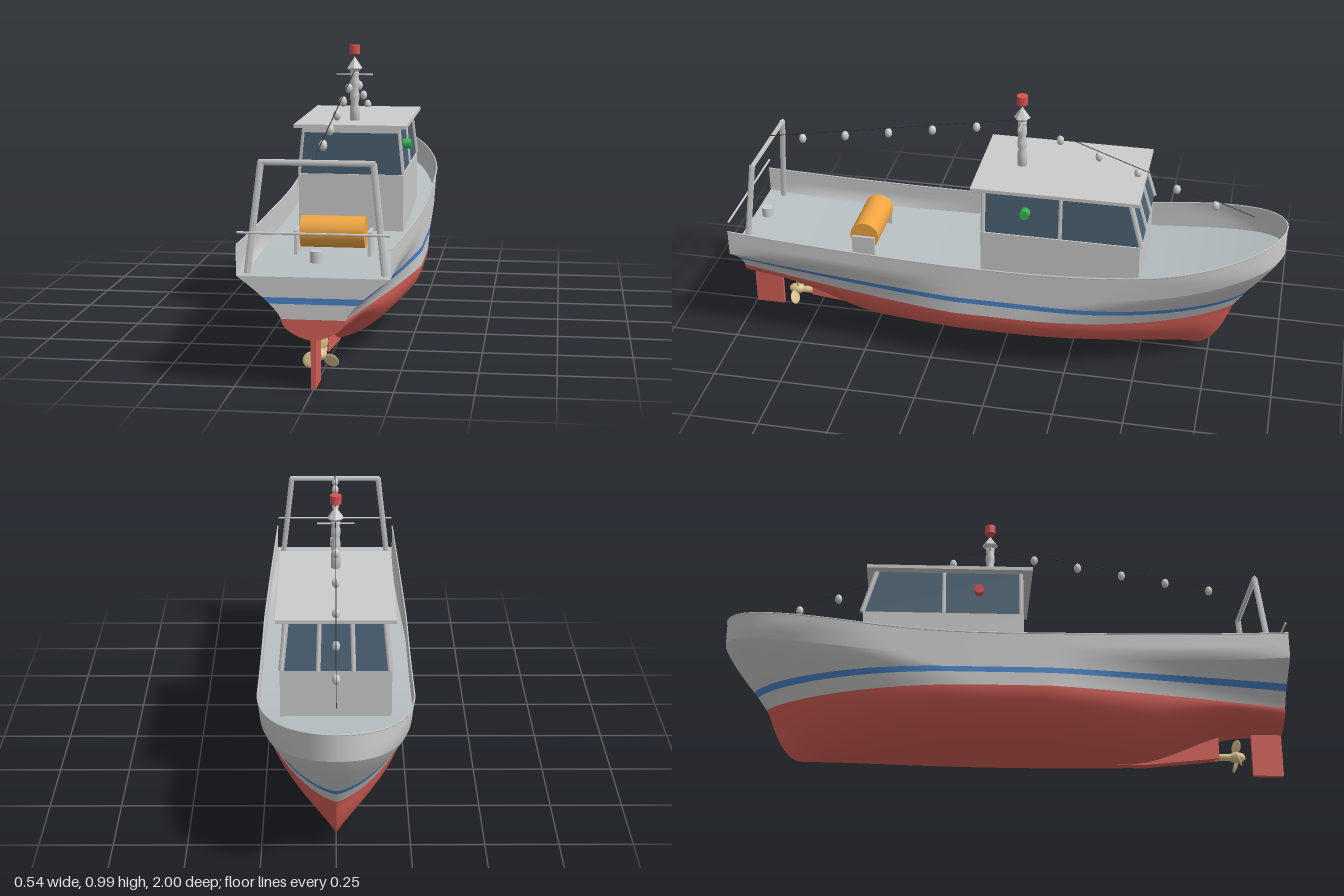
import * as THREE from 'three';

const GREY = 0xcccccc, RED = 0xd65f57, BLUE = 0x4a86cc, GLASS = 0x4a6072, DECK = 0xb9c1c5,
  ORANGE = 0xf0a540, BRASS = 0xdcc290, LAMP_RED = 0xd85050, LAMP_GREEN = 0x35b850, WIRE = 0x333333;

const mat = (color, side = THREE.FrontSide) => new THREE.MeshStandardMaterial({ color, side });
const lerp = THREE.MathUtils.lerp;
const clamp = (t) => Math.min(1, Math.max(0, t));

function add(parent, name, geo, color, x = 0, y = 0, z = 0, side) {
  const m = new THREE.Mesh(geo, mat(color, side));
  m.name = name;
  m.position.set(x, y, z);
  parent.add(m);
  return m;
}

// Straight bar between two points: round, or square when sides is 4
function bar(parent, name, a, b, r, color = GREY, sides = 8) {
  const p = new THREE.Vector3(...a), q = new THREE.Vector3(...b);
  const m = add(parent, name, new THREE.CylinderGeometry(r, r, p.distanceTo(q), sides), color);
  m.position.copy(p).lerp(q, 0.5);
  m.quaternion.setFromUnitVectors(new THREE.Vector3(0, 1, 0), q.sub(p).normalize());
}

// Surface through a grid of points
function gridGeo(nu, nv, point) {
  const pos = [], idx = [];
  for (let i = 0; i <= nu; i++) for (let j = 0; j <= nv; j++) pos.push(...point(i / nu, j / nv));
  for (let i = 0; i < nu; i++) for (let j = 0; j < nv; j++) {
    const a = i * (nv + 1) + j, b = a + nv + 1;
    idx.push(a, b, a + 1, b, b + 1, a + 1);
  }
  const g = new THREE.BufferGeometry();
  g.setAttribute('position', new THREE.Float32BufferAttribute(pos, 3));
  g.setIndex(idx);
  g.computeVertexNormals();
  return g;
}

// Hull lines: the bow points to -z, the transom sits at z = 1
const WATER = 0.222, BEAM = 0.265;
const sheer = (z) => 0.42 + (z > 0 ? 0.03 * z * z : 0.14 * Math.pow(-z, 2.2));
const deckLine = (z) => sheer(z) - 0.095;
const keel = (z) => 0.03 + 0.125 * THREE.MathUtils.smoothstep(z, 0.45, 0.87);
// The stem is upright beside the bulwark, raked below it and rounded at the foot
const stem = (y) => y > 0.21 ? -0.83 - 0.17 * clamp((y - 0.21) / 0.25)
  : -0.7 - 0.13 * Math.pow(clamp((y - 0.03) / 0.18), 0.45);

function halfWidth(y, z, z0, v) {
  const h = clamp((y - WATER) / 0.23);
  const d = clamp((z - z0) / lerp(0.75, 0.5, h));
  const bow = Math.pow(1 - (1 - d) ** 2, lerp(0.75, 0.5, h));
  const bilge = Math.pow(1 - (1 - v) ** 2, 0.72);
  const aft = 0.1 + 0.14 * clamp((y - WATER) / 0.133) ** 1.3;
  return lerp(BEAM, aft, clamp((z - 0.15) / 0.85) ** 1.2) * bow * bilge;
}

// Each level gives its height at z, its height at the stem and its bilge fullness
const flat = (y) => ({ y: () => y, y0: y, v: 1 });
const bilgeLevel = (v) => ({ y: (z) => lerp(keel(z), WATER, v), y0: lerp(0.03, WATER, v), v });
const deckLevel = { y: deckLine, y0: 0.465, v: 1 };
const sheerLevel = { y: sheer, y0: 0.56, v: 1 };
const mix = (a, b, t) => ({ y: (z) => lerp(a.y(z), b.y(z), t), y0: lerp(a.y0, b.y0, t), v: 1 });

function hullPoint(level, u, side) {
  const z0 = stem(level.y0), z = lerp(z0, 1, u ** 2), y = level.y(z);
  return [side * halfWidth(y, z, z0, level.v), y, z];
}

function buildHull(root) {
  const hull = new THREE.Group();
  hull.name = 'hull';
  root.add(hull);
  const bands = [
    ['bottom', RED, 16, (t) => bilgeLevel(t ** 1.5), true],
    ['lowerStrake', GREY, 3, (t) => flat(lerp(WATER, 0.27, t)), true],
    ['stripe', BLUE, 2, (t) => flat(lerp(0.27, 0.29, t)), true],
    ['upperStrake', GREY, 6, (t) => mix(flat(0.29), deckLevel, t), true],
    ['bulwark', GREY, 4, (t) => mix(deckLevel, sheerLevel, t), false],
  ];
  for (const [name, color, n, level, closed] of bands) {
    for (const s of [1, -1])
      add(hull, name, gridGeo(72, n, (u, t) => hullPoint(level(t), u, s)), color, 0, 0, 0, THREE.DoubleSide);
    if (closed) add(hull, name + 'Transom', gridGeo(2, n, (u, t) => {
      const p = hullPoint(level(t), 1, 1);
      return [p[0] * (2 * u - 1), p[1], p[2]];
    }), color, 0, 0, 0, THREE.DoubleSide);
  }
  add(hull, 'deck', gridGeo(72, 2, (u, t) => {
    const p = hullPoint(deckLevel, u, 1);
    return [p[0] * (2 * t - 1), p[1], p[2]];
  }), DECK, 0, 0, 0, THREE.DoubleSide);

  // Thin cap around the bulwark
  const pts = [];
  for (let i = -40; i <= 40; i++)
    pts.push(new THREE.Vector3(...hullPoint(sheerLevel, Math.abs(i) / 40, i < 0 ? -1 : 1)));
  add(hull, 'bulwarkCap', new THREE.TubeGeometry(new THREE.CatmullRomCurve3(pts), 160, 0.003, 6), GREY);
}

// Thin plate drawn in the z-y plane
function plate(root, name, points, thickness, color) {
  const shape = new THREE.Shape(points.map(([z, y]) => new THREE.Vector2(-z, y)));
  const g = new THREE.ExtrudeGeometry(shape, { depth: thickness, bevelEnabled: false });
  g.translate(0, 0, -thickness / 2).rotateY(Math.PI / 2);
  add(root, name, g, color);
}

function buildSternGear(root) {
  plate(root, 'skeg', [[0.77, 0.16], [0.77, 0.06], [0.5, 0.03], [0.4, 0.032], [0.4, 0.1], [0.6, 0.16]], 0.034, RED);
  plate(root, 'rudder', [[0.998, 0.155], [0.998, 0], [0.89, 0], [0.89, 0.155]], 0.016, RED);
  const prop = new THREE.Group();
  prop.name = 'propeller';
  prop.position.set(0, 0.07, 0.835);
  root.add(prop);
  bar(prop, 'shaft', [0, 0, -0.08], [0, 0, 0.02], 0.013, BRASS, 12);
  add(prop, 'hub', new THREE.SphereGeometry(0.02, 12, 8), BRASS).scale.z = 1.6;
  for (let i = 0; i < 3; i++) {
    const arm = new THREE.Group();
    arm.name = 'propellerArm';
    arm.rotation.z = i * Math.PI * 2 / 3;
    prop.add(arm);
    const blade = add(arm, 'propellerBlade', new THREE.SphereGeometry(1, 12, 8), BRASS, 0, 0.039, 0);
    blade.scale.set(0.026, 0.027, 0.005);
    blade.rotation.y = 0.5;
  }
}

function buildCabin(root) {
  const cabin = new THREE.Group();
  cabin.name = 'cabin';
  root.add(cabin);
  const box = (w, h, d) => new THREE.BoxGeometry(w, h, d);
  add(cabin, 'cabinWalls', box(0.38, 0.21, 0.57), GREY, 0, 0.425, -0.215);
  // Glazed upper part, leaning inwards at the sides and the bow
  const glass = box(0.37, 0.172, 0.57);
  const p = glass.attributes.position;
  for (let i = 0; i < p.count; i++) if (p.getY(i) > 0) {
    p.setX(i, p.getX(i) * 0.91);
    if (p.getZ(i) < 0) p.setZ(i, -0.235);
  }
  glass.computeVertexNormals();
  add(cabin, 'windows', glass, GLASS, 0, 0.616, -0.22);
  // Frames between the panes
  const post = (xb, zb, xt, zt, r = 0.008) => bar(cabin, 'windowPost', [xb, 0.53, zb], [xt, 0.702, zt], r, GREY, 4);
  for (const s of [1, -1]) {
    post(s * 0.187, 0.061, s * 0.17, 0.061);
    post(s * 0.184, -0.215, s * 0.167, -0.215);
    post(s * 0.184, -0.504, s * 0.167, -0.456, 0.01);
    post(s * 0.06, -0.506, s * 0.055, -0.457);
  }
  add(cabin, 'rearHeader', box(0.34, 0.022, 0.012), GREY, 0, 0.691, 0.062);
  add(cabin, 'roof', box(0.405, 0.013, 0.595), GREY, 0, 0.706, -0.195);
  for (const [s, name, color] of [[1, 'greenSideLight', LAMP_GREEN], [-1, 'redSideLight', LAMP_RED]])
    add(cabin, name, new THREE.CylinderGeometry(0.018, 0.018, 0.03, 10), color, s * 0.188, 0.623, -0.09).rotation.z = Math.PI / 2;
}

function buildMast(root) {
  const mast = new THREE.Group();
  mast.name = 'mast';
  mast.position.set(0, 0, -0.045);
  root.add(mast);
  const profile = [[0, 0.71], [0.017, 0.71], [0.017, 0.76], [0.013, 0.775], [0.017, 0.79], [0.017, 0.81], [0.013, 0.825],
    [0.017, 0.84], [0.017, 0.86], [0.014, 0.87], [0.016, 0.88], [0.016, 0.895], [0, 0.895]];
  add(mast, 'mastPole', new THREE.LatheGeometry(profile.map((q) => new THREE.Vector2(...q)), 16), GREY);
  add(mast, 'mastCap', new THREE.ConeGeometry(0.03, 0.042, 6), GREY, 0, 0.924, 0).material.flatShading = true;
  add(mast, 'mastCapBase', new THREE.CylinderGeometry(0.03, 0.015, 0.014, 6), GREY, 0, 0.896, 0).material.flatShading = true;
  bar(mast, 'mastCrossbar', [-0.066, 0.88, 0], [0.066, 0.88, 0], 0.003);
  add(mast, 'mastLamp', new THREE.CylinderGeometry(0.02, 0.02, 0.032, 20), LAMP_RED, 0, 0.971, 0);
}

// Wires from the mast to both ends, each with five hanging bulbs
function buildLights(root) {
  const runs = [[0.93, 0.725, [0.12, 0.282, 0.445, 0.608, 0.77]], [-0.88, 0.59, [-0.182, -0.322, -0.462, -0.602, -0.742]]];
  for (const [zEnd, yEnd, bulbs] of runs) {
    bar(root, 'lightWire', [0, 0.895, -0.045], [0, yEnd, zEnd], 0.0016, WIRE, 6);
    for (const z of bulbs) {
      const y = lerp(0.895, yEnd, (z + 0.045) / (zEnd + 0.045));
      add(root, 'bulb', new THREE.SphereGeometry(0.0135, 12, 8), GREY, 0, y - 0.02, z).scale.y = 1.35;
    }
  }
}

function buildDeckGear(root) {
  // Net drum between two side plates
  add(root, 'netDrum', new THREE.CylinderGeometry(0.053, 0.053, 0.216, 32), ORANGE, 0, 0.408, 0.523).rotation.z = Math.PI / 2;
  for (const s of [1, -1]) {
    add(root, 'drumSupport', new THREE.BoxGeometry(0.01, 0.085, 0.085), GREY, s * 0.124, 0.373, 0.523);
    bar(root, 'gantryLeg', [s * 0.216, 0.35, 0.94], [s * 0.176, 0.7, 0.907], 0.011, GREY, 4);
  }
  bar(root, 'gantryBeam', [-0.182, 0.697, 0.907], [0.182, 0.697, 0.907], 0.01, GREY, 4);
  bar(root, 'sternRail', [-0.237, 0.49, 0.994], [0.237, 0.49, 0.994], 0.004);
  add(root, 'bollard', new THREE.CylinderGeometry(0.02, 0.02, 0.036, 16), 0xe4e4e4, 0, 0.407, 0.93);
}

export function createModel() {
  const boat = new THREE.Group();
  boat.name = 'fishingBoat';
  buildHull(boat);
  buildSternGear(boat);
  buildCabin(boat);
  buildMast(boat);
  buildLights(boat);
  buildDeckGear(boat);
  return boat;
}
